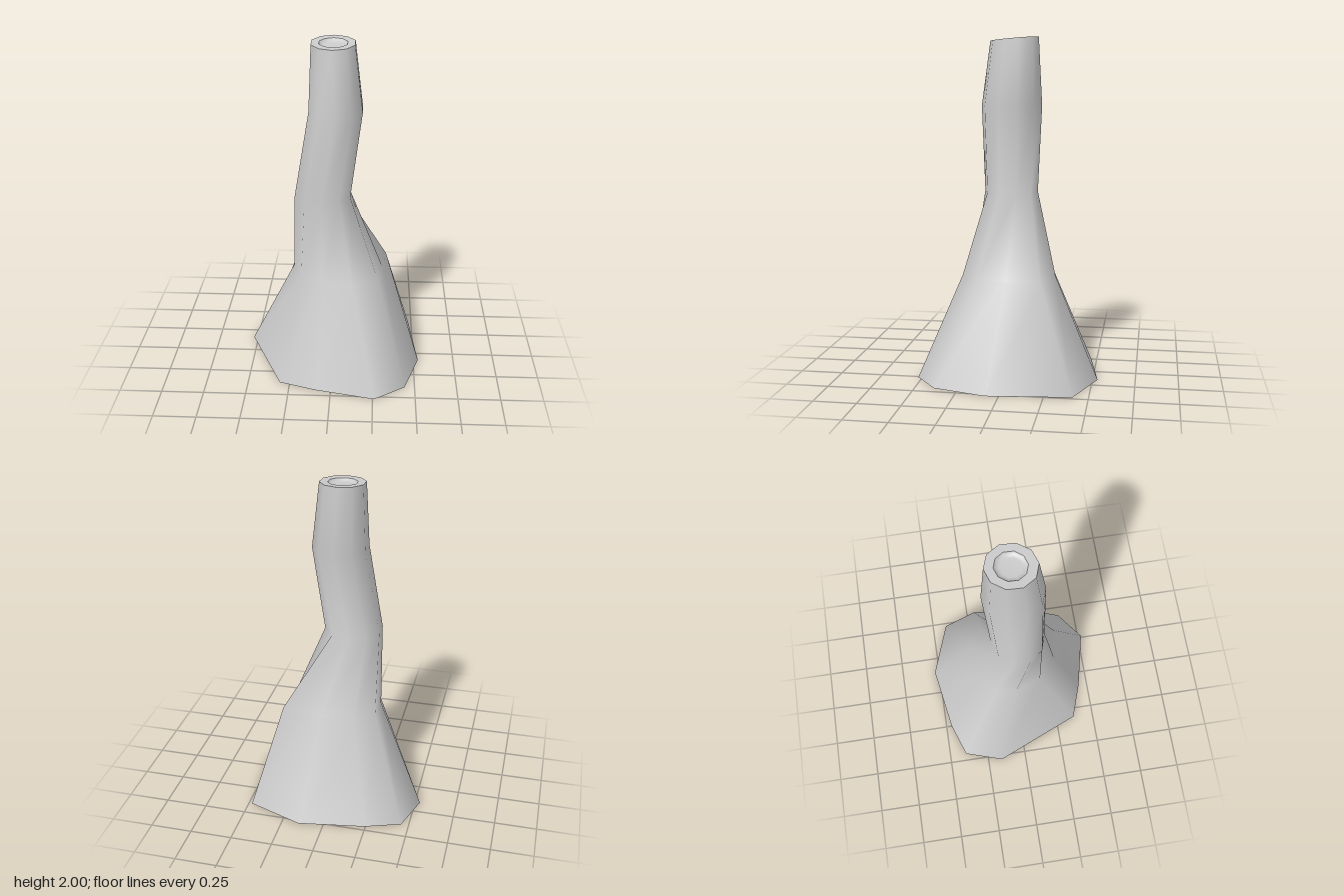
import * as THREE from 'three';

const SIDES = 10;

// Regular ring around (cx, cz), with an optional tilt of y along z
function ring(cx, y, cz, rx, rz = rx, tilt = 0) {
  return Array.from({ length: SIDES }, (_, i) => {
    const a = -Math.PI / 2 + (i / SIDES) * Math.PI * 2;
    const z = Math.sin(a) * rz;
    return [cx + Math.cos(a) * rx, y + z * tilt, cz + z];
  });
}

// Irregular ring from [x, z] corners
const outline = (y, corners) => corners.map(([x, z]) => [x, y, z]);

// Smooth skin through successive rings, with an optional closing fan
function loft(rings, close = false) {
  const points = rings.flat();
  const index = [];
  for (let r = 0; r < rings.length - 1; r++) {
    for (let i = 0; i < SIDES; i++) {
      const j = (i + 1) % SIDES;
      const a = r * SIDES + i, b = r * SIDES + j;
      index.push(a, a + SIDES, b, b, a + SIDES, b + SIDES);
    }
  }
  if (close) {
    const last = rings[rings.length - 1];
    const start = (rings.length - 1) * SIDES;
    points.push([0, 1, 2].map(k => last.reduce((s, p) => s + p[k], 0) / SIDES));
    for (let i = 0; i < SIDES; i++) {
      index.push(start + i, points.length - 1, start + (i + 1) % SIDES);
    }
  }
  const geometry = new THREE.BufferGeometry();
  geometry.setAttribute('position', new THREE.Float32BufferAttribute(points.flat(), 3));
  geometry.setIndex(index);
  geometry.computeVertexNormals();
  return geometry;
}

export function createModel() {
  const group = new THREE.Group();
  const material = new THREE.MeshStandardMaterial({ color: 0xcccccc, side: THREE.DoubleSide });
  const add = (name, geometry) => {
    const mesh = new THREE.Mesh(geometry, material);
    mesh.name = name;
    group.add(mesh);
  };

  // Spreading open foot
  const foot = outline(0, [
    [0.15, -0.53], [0.48, -0.41], [0.53, 0.08], [0.44, 0.39], [0.26, 0.525],
    [-0.09, 0.445], [-0.31, 0.37], [-0.53, -0.16], [-0.455, -0.395], [-0.245, -0.467],
  ]);
  const shoulder = outline(0.6, [
    [0.08, -0.27], [0.32, -0.21], [0.3, 0], [0.27, 0.17], [0.12, 0.28],
    [-0.06, 0.25], [-0.19, 0.14], [-0.245, -0.02], [-0.235, -0.15], [-0.12, -0.235],
  ]);

  // Bent neck, cut slightly aslant at the top
  const rim = ring(-0.004, 1.987, -0.012, 0.131, 0.143, -0.085);
  add('trunk', loft([
    foot,
    shoulder,
    ring(-0.065, 1.085, 0.015, 0.172, 0.16),
    ring(0.012, 1.6, 0.001, 0.163, 0.179),
    rim,
  ]));

  // Flat cut face with a shallow dish
  add('rim', loft([rim, ring(-0.004, 1.986, -0.014, 0.085, 0.09, -0.085)]));
  add('dish', loft([
    ring(-0.004, 1.986, -0.014, 0.085, 0.09, -0.085),
    ring(-0.004, 1.972, -0.014, 0.074, 0.077, -0.085),
    ring(-0.004, 1.968, -0.014, 0.055, 0.058, -0.085),
  ], true));

  return group;
}
